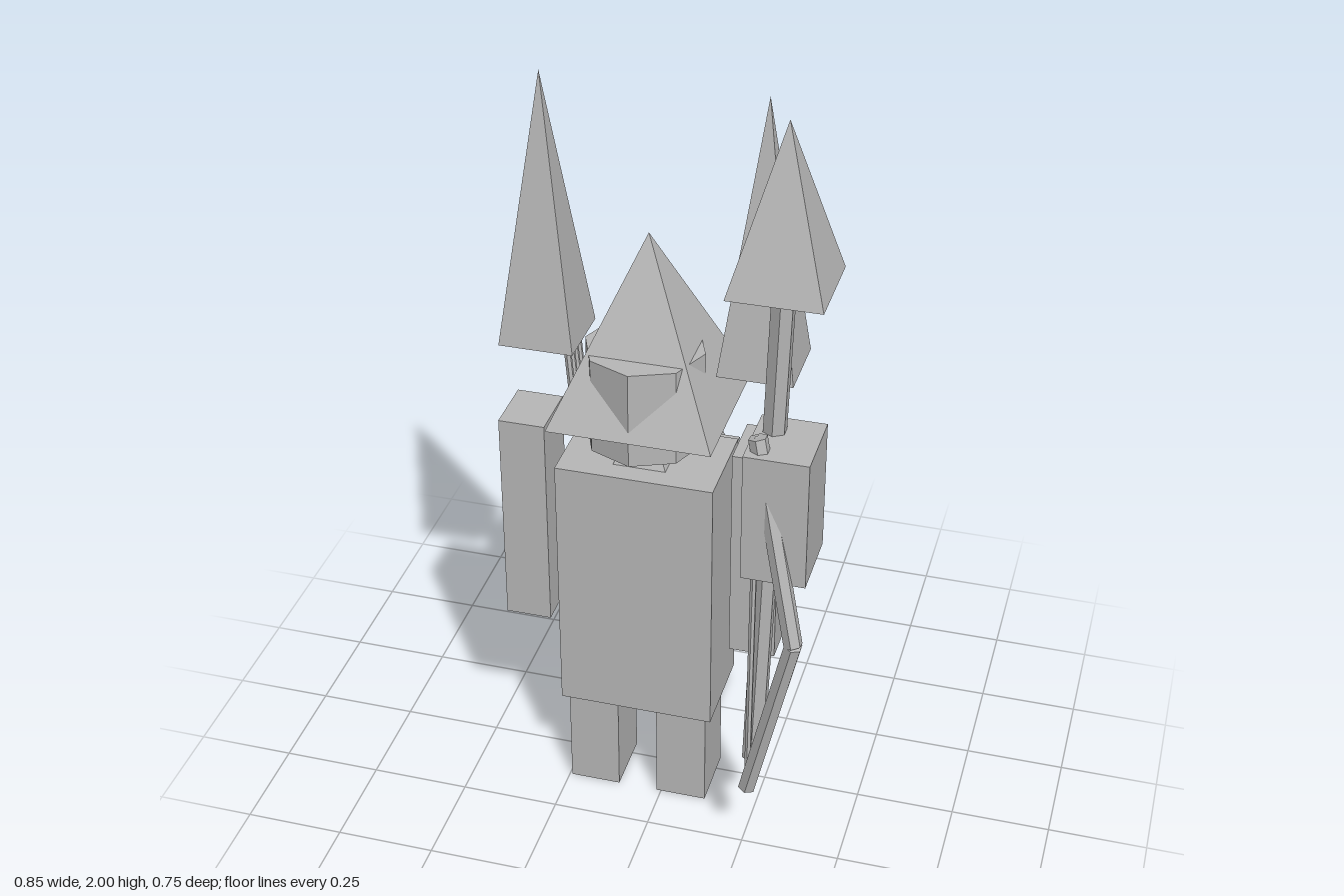
import * as THREE from 'three';

export function createModel() {
  const model = new THREE.Group();
  const grey = new THREE.MeshStandardMaterial({ color: 0xb8b8b8, flatShading: true });
  grey.name = 'stone grey';

  const add = (name, geometry, x, y, z) => {
    const mesh = new THREE.Mesh(geometry, grey);
    mesh.name = name;
    mesh.position.set(x, y, z);
    model.add(mesh);
    return mesh;
  };
  // box given by its lower and upper limits
  const box = (name, [x0, x1], [y0, y1], [z0, z1]) =>
    add(name, new THREE.BoxGeometry(x1 - x0, y1 - y0, z1 - z0),
      (x0 + x1) / 2, (y0 + y1) / 2, (z0 + z1) / 2);
  // four-sided pyramid standing on a w by d base
  const pyramid = (name, x, z, w, d, y0, y1) => {
    const g = new THREE.ConeGeometry(Math.SQRT1_2, y1 - y0, 4, 1).rotateY(Math.PI / 4).scale(w, 1, d);
    return add(name, g, x, (y0 + y1) / 2, z);
  };
  // straight rod between two points
  const up = new THREE.Vector3(0, 1, 0);
  const rod = (name, from, to, radius, sides = 6) => {
    const a = new THREE.Vector3(...from), b = new THREE.Vector3(...to);
    const dir = b.clone().sub(a);
    const mid = a.clone().add(b).multiplyScalar(0.5);
    const mesh = add(name, new THREE.CylinderGeometry(radius, radius, dir.length(), sides), mid.x, mid.y, mid.z);
    mesh.quaternion.setFromUnitVectors(up, dir.normalize());
    return mesh;
  };

  const cx = -0.063; // middle of the body

  // body, legs, arms and shoulder spikes
  box('torso', [-0.26, 0.135], [0.275, 0.98], [-0.105, 0.14]);
  for (const [side, s] of [['left', 1], ['right', -1]]) {
    const legX = cx + s * 0.116, armX = cx + s * 0.292, spikeX = cx + s * 0.27;
    box(side + 'Leg', [legX - 0.065, legX + 0.065], [0, 0.275], [-0.04, 0.124]);
    box(side + 'Arm', [armX - 0.058, armX + 0.058], [0.49, 1.065], [-0.048, 0.1]);
    pyramid(side + 'ShoulderSpike', spikeX, -0.053, 0.186, 0.186, 1.24, 1.925);
  }
  box('leftHand', [0.25, 0.405], [0.885, 1.22], [0.14, 0.325]);

  // neck, head and pointed hat
  pyramid('neck', cx, 0.02, 0.132, 0.132, 0.98, 1.12);
  add('head', new THREE.CylinderGeometry(0.148, 0.148, 0.25, 8), cx, 1.165, 0.025);
  pyramid('hat', cx, -0.012, 0.406, 0.39, 1.11, 1.57);

  // things carried on the back
  box('backpack', [-0.24, 0.122], [0.38, 0.94], [-0.175, -0.105]);
  pyramid('backSpike', cx, -0.229, 0.27, 0.27, 0.74, 1.185);
  box('pouch', [-0.264, -0.167], [0.395, 0.555], [-0.373, -0.288]);
  for (let i = 0; i < 4; i++) {
    const z = -0.068 - i * 0.027;
    rod('arrow' + (i + 1), [-0.262, 0.865, z], [-0.293, 1.25, z], 0.009);
  }

  // spear
  rod('spearShaft', [0.255, 0.215, 0.166], [0.31, 1.62, 0.21], 0.029);
  pyramid('spearHead', 0.311, 0.21, 0.221, 0.222, 1.61, 2);

  // bow with its string
  const tip = [0.275, 1.25, 0.283], grip = [0.387, 0.735, 0.352], foot = [0.268, 0.215, 0.283];
  rod('upperBowLimb', grip, tip, 0.023);
  rod('lowerBowLimb', foot, grip, 0.023);
  rod('bowString', foot, tip, 0.008);

  return model;
}
